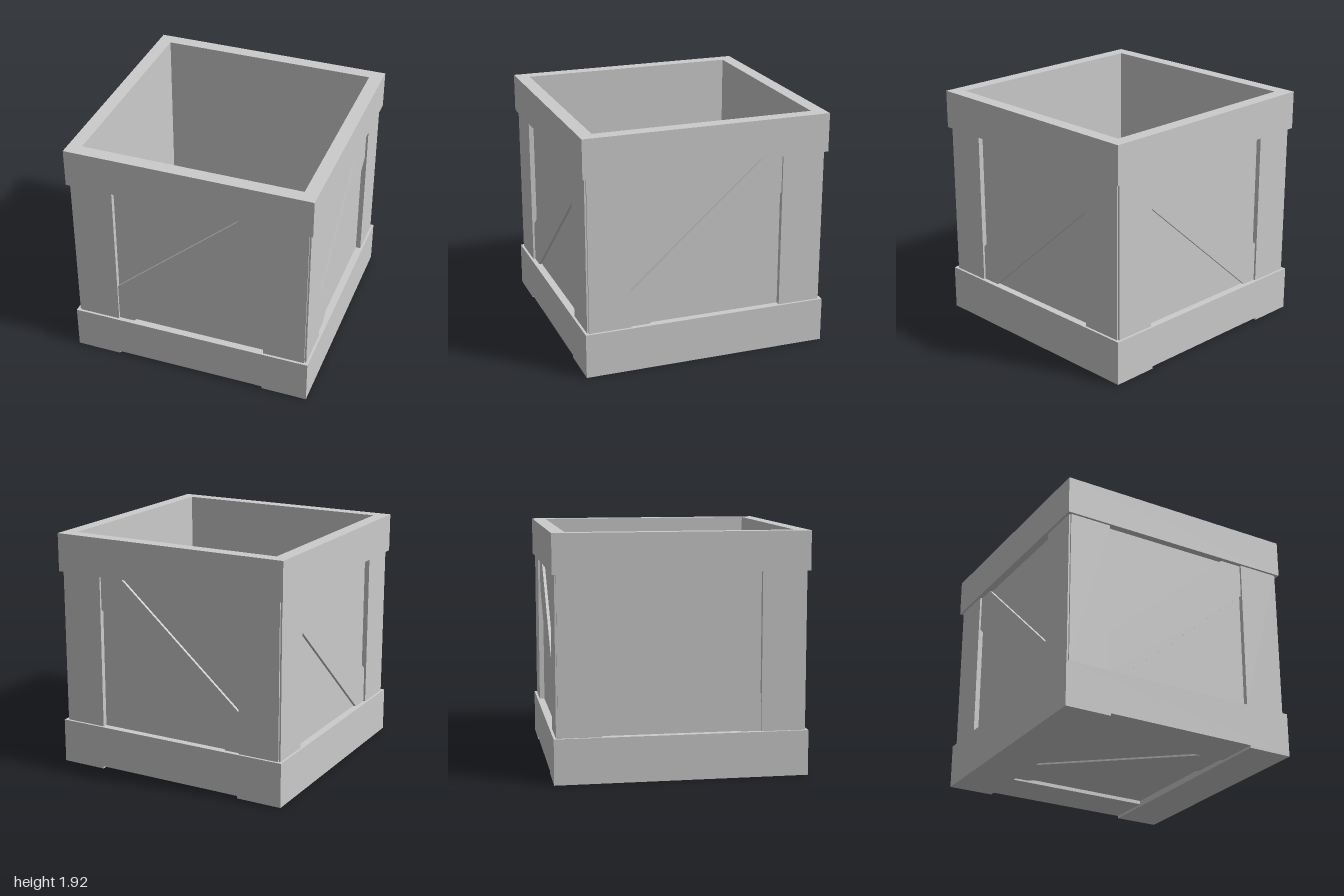
import * as THREE from 'three';

const material = new THREE.MeshStandardMaterial({ color: 0xcccccc, flatShading: true });
const INNER = 0.89, POST = 0.625, LOW = 0.36, HIGH = 1.615;

function add(parent, name, geometry) {
  const mesh = new THREE.Mesh(geometry, material);
  mesh.name = name;
  parent.add(mesh);
  return mesh;
}

// box given by its lower and upper corners
function box(parent, name, [x0, y0, z0], [x1, y1, z1]) {
  const mesh = add(parent, name, new THREE.BoxGeometry(x1 - x0, y1 - y0, z1 - z0));
  mesh.position.set((x0 + x1) / 2, (y0 + y1) / 2, (z0 + z1) / 2);
  return mesh;
}

function prism(points, depth, hole) {
  const shape = new THREE.Shape(points.map(p => new THREE.Vector2(...p)));
  if (hole) shape.holes.push(new THREE.Path(hole.map(p => new THREE.Vector2(...p))));
  return new THREE.ExtrudeGeometry(shape, { depth, bevelEnabled: false });
}

const square = h => [[-h, -h], [h, -h], [h, h], [-h, h]];

// square ring lying flat between heights y0 and y1
function ring(parent, name, outer, inner, y0, y1) {
  const geometry = prism(square(outer), y1 - y0, square(inner).reverse());
  geometry.rotateX(Math.PI / 2);
  add(parent, name, geometry).position.y = y1;
}

// one wall: recessed panel, two corner posts and a diagonal brace
function wall(name, angle, flip, shift) {
  const group = new THREE.Group();
  group.name = name;
  box(group, 'panel', [-POST, LOW, INNER], [POST, HIGH, 0.94]);
  for (const s of [-1, 1]) {
    const a = s * POST, b = s * 0.967;
    box(group, 'post', [Math.min(a, b), LOW, INNER], [Math.max(a, b), HIGH, 0.98]);
  }
  const brace = [
    [-POST, LOW], [-0.47 - shift, LOW], [POST, 1.31 + shift],
    [POST, HIGH], [0.47 - shift, HIGH], [-POST, 0.655 + shift],
  ].map(([x, y]) => [x * flip, y]);
  add(group, 'diagonalBrace', prism(brace, 0.043)).position.z = 0.92;
  group.rotation.y = angle;
  return group;
}

export function createModel() {
  const crate = new THREE.Group();
  crate.name = 'openCrate';

  // walls, with the braces parallel on opposite sides
  crate.add(
    wall('frontWall', 0, 1, 0.03),
    wall('rightWall', Math.PI / 2, 1, 0),
    wall('backWall', Math.PI, -1, 0.03),
    wall('leftWall', -Math.PI / 2, -1, 0),
  );

  // bands around the top and bottom
  ring(crate, 'topBand', 1, INNER, HIGH, 1.925);
  ring(crate, 'bottomBand', 1, INNER, 0.02, LOW);

  // floor with its frame and brace underneath
  box(crate, 'floor', [-INNER, 0.05, -INNER], [INNER, 0.11, INNER]);
  ring(crate, 'floorFrame', INNER, POST, 0.02, 0.1);
  const brace = prism([
    [POST, POST], [0.476, POST], [-POST, -0.3],
    [-POST, -POST], [-0.476, -POST], [POST, 0.3],
  ], 0.025);
  brace.rotateX(Math.PI / 2);
  add(crate, 'floorBrace', brace).position.y = 0.06;

  // two flat runners the crate stands on
  for (const s of [-1, 1]) {
    const a = s * POST, b = s;
    box(crate, 'runner', [Math.min(a, b), 0, -1], [Math.max(a, b), 0.02, 1]);
  }
  return crate;
}
